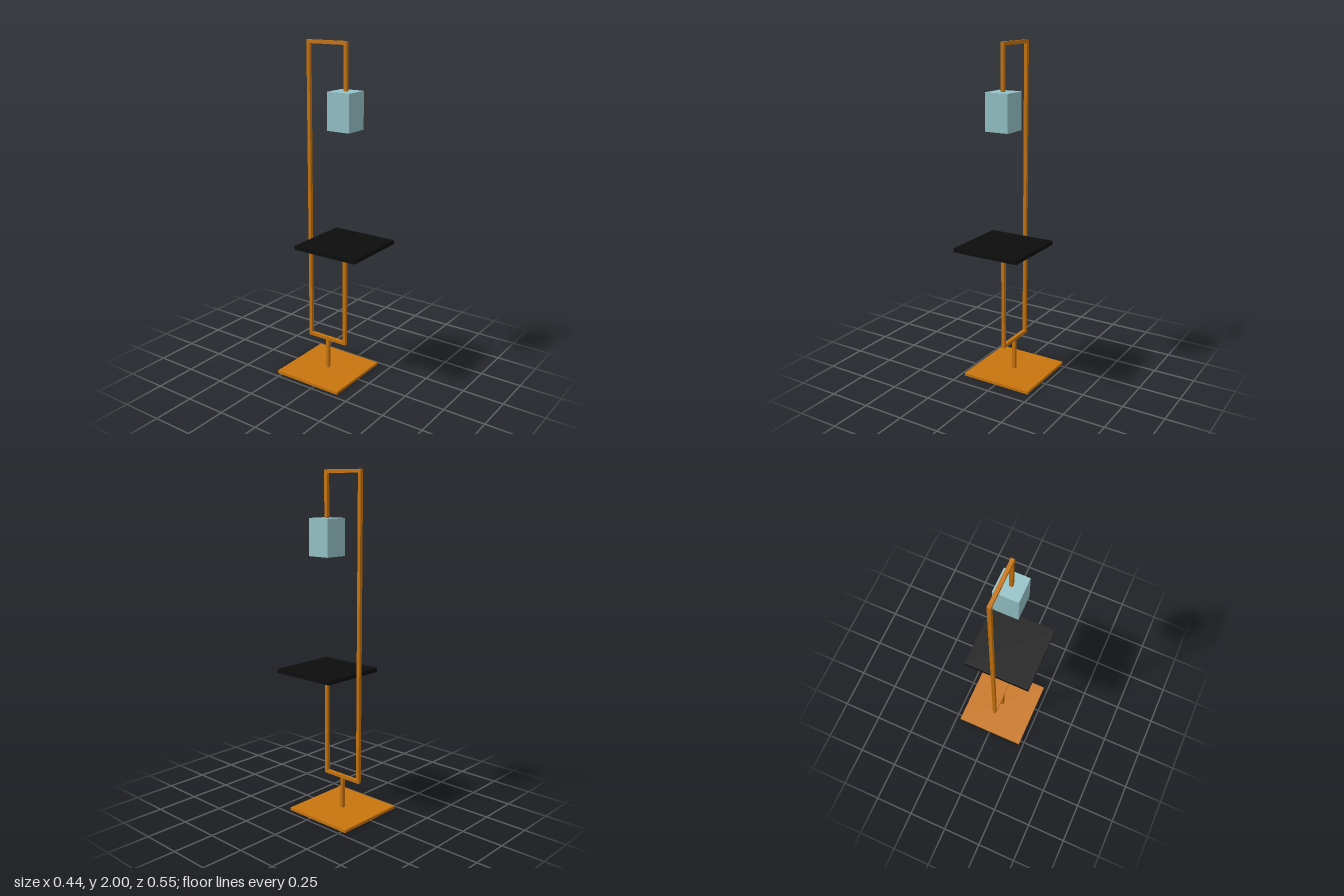
import * as THREE from 'three';

export function createModel() {
  const group = new THREE.Group();
  const mat = (name, color, side = THREE.FrontSide) => {
    const m = new THREE.MeshStandardMaterial({ color, side });
    m.name = name;
    return m;
  };
  const copper = mat('copper', 0xc8740d);
  const black = mat('black', 0x0d0d0d);
  const glass = mat('pale blue', 0x95c3c8, THREE.DoubleSide);

  // Box given by its x half width and its y and z ranges
  const box = (name, material, hx, y0, y1, z0, z1) => {
    const mesh = new THREE.Mesh(new THREE.BoxGeometry(hx * 2, y1 - y0, z1 - z0), material);
    mesh.position.set(0, (y0 + y1) / 2, (z0 + z1) / 2);
    mesh.name = name;
    group.add(mesh);
    return mesh;
  };

  // Base plate and short stem
  box('base', copper, 0.222, 0, 0.017, -0.277, 0.167);
  box('stem', copper, 0.01, 0.017, 0.204, -0.065, -0.045);

  // Square-tube frame: back post, cross bars, and the interrupted front post
  const r = 0.01;
  box('lowerBar', copper, r, 0.204, 0.224, -0.19, 0.08);
  box('backPost', copper, r, 0.224, 1.98, -0.19, -0.17);
  box('upperBar', copper, r, 1.98, 2, -0.19, 0.08);
  box('tablePost', copper, r, 0.224, 0.833, 0.06, 0.08);
  box('shadeHanger', copper, r, 1.733, 1.98, 0.06, 0.08);

  // Table top
  box('tableTop', black, 0.208, 0.833, 0.857, -0.14, 0.275);

  // Lamp shade: thin box, open underneath (bottom face is the fourth group)
  const shade = box('lampShade', glass, 0.0725, 1.518, 1.733, -0.004, 0.141);
  const g = shade.geometry;
  const bottom = g.groups[3];
  g.setIndex(Array.from(g.index.array).filter((_, i) => i < bottom.start || i >= bottom.start + bottom.count));
  g.clearGroups();

  return group;
}
